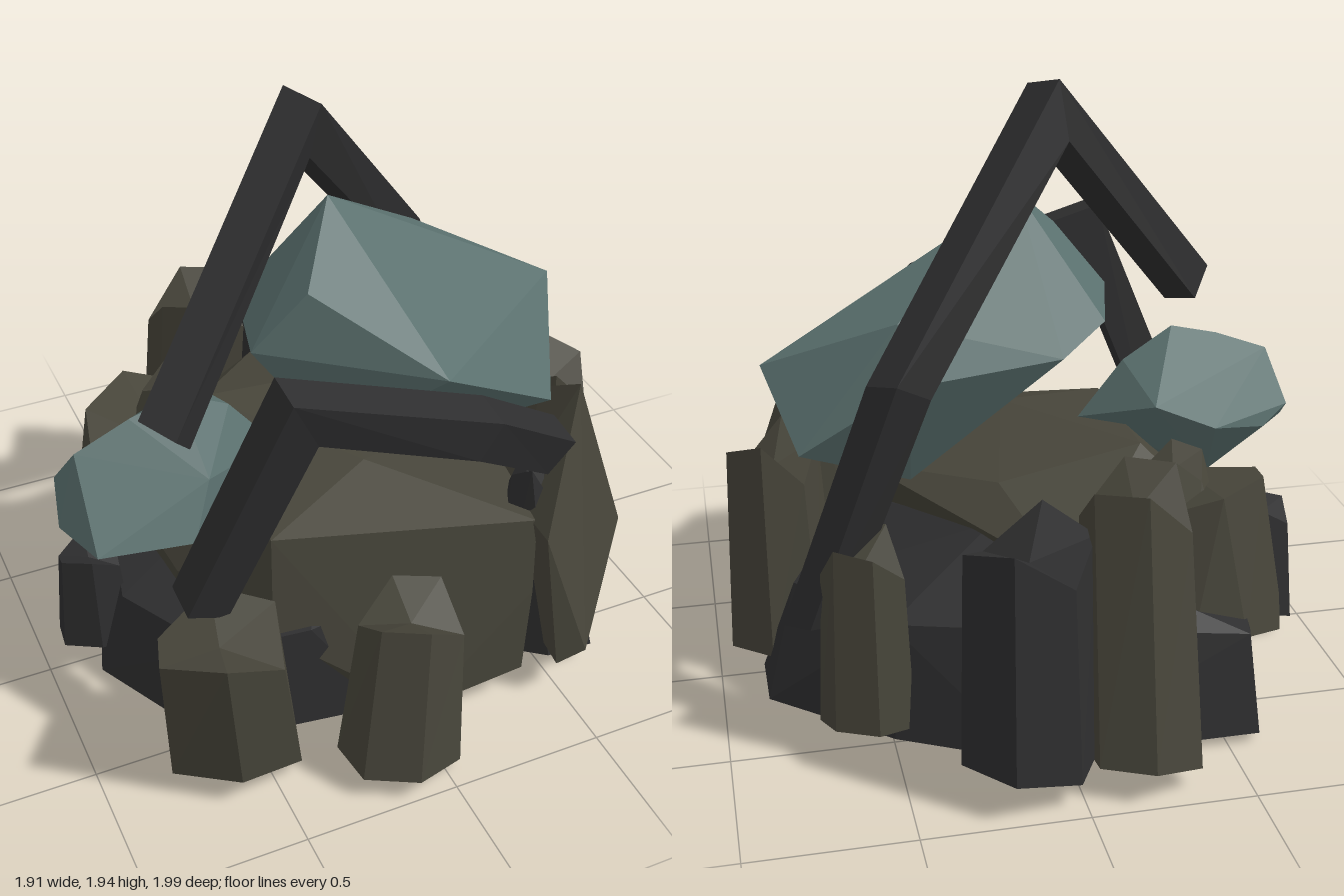
import * as THREE from 'three';
import { ConvexGeometry } from 'three/addons/geometries/ConvexGeometry.js';

const V = (a) => new THREE.Vector3(...a);

// Skin a list of rings, closing both ends with a fan
function loft(rings, capLift = 0) {
  const pos = [];
  const tri = (...ps) => ps.forEach((p) => pos.push(p.x, p.y, p.z));
  const centre = (r) => r.reduce((s, p) => s.add(p), new THREE.Vector3()).divideScalar(r.length);
  const n = rings[0].length;
  const first = rings[0], last = rings[rings.length - 1];
  const c0 = centre(first), c1 = centre(last);
  c1.y += capLift;
  for (let i = 0; i < n; i++) {
    const j = (i + 1) % n;
    for (let k = 0; k < rings.length - 1; k++) {
      const a = rings[k], b = rings[k + 1];
      tri(a[i], a[j], b[j]);
      tri(a[i], b[j], b[i]);
    }
    tri(c0, first[j], first[i]);
    tri(c1, last[i], last[j]);
  }
  const g = new THREE.BufferGeometry();
  g.setAttribute('position', new THREE.Float32BufferAttribute(pos, 3));
  g.computeVertexNormals();
  return g;
}

// Leaning six-sided shard with a jagged, dented top
function shard(base, top, rBase, rTop, turn, jag) {
  const ring = (c, r, h) => Array.from({ length: 6 }, (_, i) => {
    const a = turn + (i / 6) * Math.PI * 2;
    const rr = r * (1 + 0.08 * Math.sin(i * 2.3 + turn * 5));
    return new THREE.Vector3(c[0] + Math.cos(a) * rr, c[1] + h * Math.sin(i * 2.1 + turn), c[2] - Math.sin(a) * rr);
  });
  return loft([ring(base, rBase, 0.025), ring(top, rTop, jag)], -jag * 0.6);
}

// Square beam bent along a path, mitred at the bends
function beam(points, normal, half) {
  const p = points.map(V), n = V(normal).normalize();
  const rings = p.map((c, i) => {
    const dIn = p[Math.max(i, 1)].clone().sub(p[Math.max(i, 1) - 1]).normalize();
    const k = Math.min(i, p.length - 2);
    const dOut = p[k + 1].clone().sub(p[k]).normalize();
    const t = dIn.clone().add(dOut).normalize();
    const v = t.clone().cross(n).normalize().multiplyScalar(half / Math.max(0.5, t.dot(dIn)));
    return [[1, 1], [-1, 1], [-1, -1], [1, -1]].map(([a, b]) =>
      c.clone().addScaledVector(n, a * half).addScaledVector(v, b));
  });
  return loft(rings);
}

const hull = (pts) => new ConvexGeometry(pts.map(V));

export function createModel() {
  const model = new THREE.Group();
  model.name = 'rockCluster';
  const material = (name, color) => {
    const m = new THREE.MeshStandardMaterial({ color, flatShading: true });
    m.name = name;
    return m;
  };
  const brown = material('brownRock', 0x47453a);
  const dark = material('darkStone', 0x2e2e2f);
  const teal = material('tealRock', 0x5b716f);
  const add = (name, geometry, mat) => {
    const mesh = new THREE.Mesh(geometry, mat);
    mesh.name = name;
    model.add(mesh);
  };

  // Dark foundation
  add('foundation', hull([
    [-0.85, 0.03, 0.1], [-0.6, 0.03, -0.73], [0.12, 0.03, -0.73], [0.5, 0.03, -0.53],
    [0.86, 0.03, -0.22], [0.86, 0.03, 0], [0.6, 0.03, 0.5], [-0.05, 0.03, 0.63], [-0.62, 0.03, 0.55],
    [-0.76, 0.32, 0.1], [-0.58, 0.34, -0.66], [0.15, 0.42, -0.62], [0.5, 0.4, -0.48],
    [0.76, 0.4, -0.15], [0.5, 0.4, 0.45], [-0.3, 0.4, 0.57], [-0.58, 0.36, 0.5],
    [0.15, 0.62, -0.3],
  ]), dark);

  // Brown mound
  add('mound', hull([
    [-0.39, 0.72, 0.48], [0, 0.78, 0.3], [0.42, 0.67, 0.67], [0.4, 0.42, 0.71], [0.37, 0.12, 0.73],
    [0.03, 0.05, 0.7], [-0.41, 0.38, 0.53], [-0.3, 0, 0.46], [-0.55, 0.02, -0.12],
    [0.5, 0.68, 0.1], [0.12, 0.73, -0.25], [0, 0.6, -0.66], [-0.35, 0.8, -0.2],
    [-0.65, 0.5, -0.35], [-0.6, 0.45, 0.2], [-0.55, 0.2, -0.5],
  ]), brown);

  // Tilted slab at the front corner
  add('tiltedSlab', hull([
    [0.68, 0.97, 0.45], [0.4, 0.67, 0.77], [0.47, 0.14, 0.78], [0.57, 0.17, 0.79], [0.93, 0.3, 0.39],
    [0.65, 0.86, 0.28], [0.8, 0.28, 0.26], [0.42, 0.65, 0.5], [0.47, 0.2, 0.5],
  ]), brown);

  // Broad slab leaning on the back right corner
  add('backRightSlab', hull([
    [-0.77, 0.12, -0.1], [-0.85, 0.2, -0.2], [-0.77, 0.2, -0.42], [-0.6, 0.28, -0.58], [-0.42, 0.32, -0.6],
    [-0.74, 0.68, -0.2], [-0.7, 0.73, -0.38], [-0.52, 0.74, -0.53], [-0.4, 0.7, -0.5], [-0.5, 0.68, -0.15],
  ]), brown);

  // Ring of shards: name, material, base, top, radii, turn, jaggedness
  [
    ['frontRightShard', brown, [-0.58, 0.08, 0.6], [-0.63, 0.56, 0.65], 0.22, 0.2, 0.3, 0.06],
    ['frontShard', brown, [-0.12, 0.06, 0.83], [-0.06, 0.55, 0.77], 0.18, 0.15, 0.5, 0.07],
    ['leftShard', brown, [0.78, 0.08, 0.08], [0.79, 0.76, 0.08], 0.17, 0.14, 0.2, 0.09],
    ['backLeftShard', brown, [0.58, 0.09, -0.48], [0.58, 0.65, -0.48], 0.14, 0.12, 0.7, 0.08],
    ['backDarkShard', dark, [0.13, 0.1, -0.79], [0.13, 0.75, -0.74], 0.21, 0.19, 0.1, 0.08],
    ['backShard', brown, [-0.2, 0.09, -0.83], [-0.2, 0.86, -0.68], 0.17, 0.16, 0.5, 0.1],
    ['innerShard', brown, [-0.46, 0.4, -0.42], [-0.42, 0.79, -0.33], 0.16, 0.1, 0.3, 0.05],
    ['rightDarkShard', dark, [-0.82, 0.09, -0.04], [-0.83, 0.44, -0.02], 0.13, 0.1, 0.4, 0.04],
    ['frontDarkShard', dark, [0.54, 0.09, 0.54], [0.44, 0.78, 0.56], 0.19, 0.06, 0.2, 0.06],
  ].forEach(([name, mat, ...args]) => add(name, shard(...args), mat));

  // Teal boulders
  add('largeBoulder', hull([
    [0, 1.58, 0.02], [0.15, 1.2, 0.56], [0.82, 1.09, -0.02], [0.42, 1.27, -0.24], [0.4, 1.1, -0.33],
    [0.73, 0.87, -0.24], [-0.33, 1.21, 0.2], [-0.17, 1.41, 0.26], [-0.24, 1.2, -0.15],
    [-0.08, 1.13, -0.27], [0.15, 0.77, 0.25], [-0.1, 0.88, 0.28], [0.38, 0.72, -0.15],
    [0.62, 0.88, 0.38],
  ]), teal);
  add('smallBoulder', hull([
    [-0.95, 0.71, 0.15], [-0.92, 0.8, 0.02], [-0.88, 0.96, 0.14], [-0.82, 0.75, -0.04],
    [-0.54, 1.07, 0.12], [-0.7, 1.03, 0.13], [-0.41, 0.9, -0.16], [-0.62, 0.8, -0.14],
    [-0.37, 0.97, 0.1], [-0.22, 0.78, 0.1], [-0.42, 0.62, 0.2], [-0.66, 0.57, 0.05],
    [-0.89, 0.72, 0.35], [-0.6, 0.72, 0.4], [-0.52, 0.88, 0.32],
  ]), teal);

  // Dark bent beams
  add('tallArch', beam([
    [-0.67, 1.13, 0.38], [-0.09, 1.83, 0], [0.45, 1.13, -0.44], [0.72, 0.36, -0.36],
  ], [0.58, -0.22, 0.8], 0.066), dark);
  add('frontArch', beam([
    [-0.63, 0.58, 0.5], [-0.36, 1.28, 0.62], [0.2, 1.09, 0.67], [0.53, 0.84, 0.54],
  ], [0, -0.1, 1], 0.068), dark);

  return model;
}
